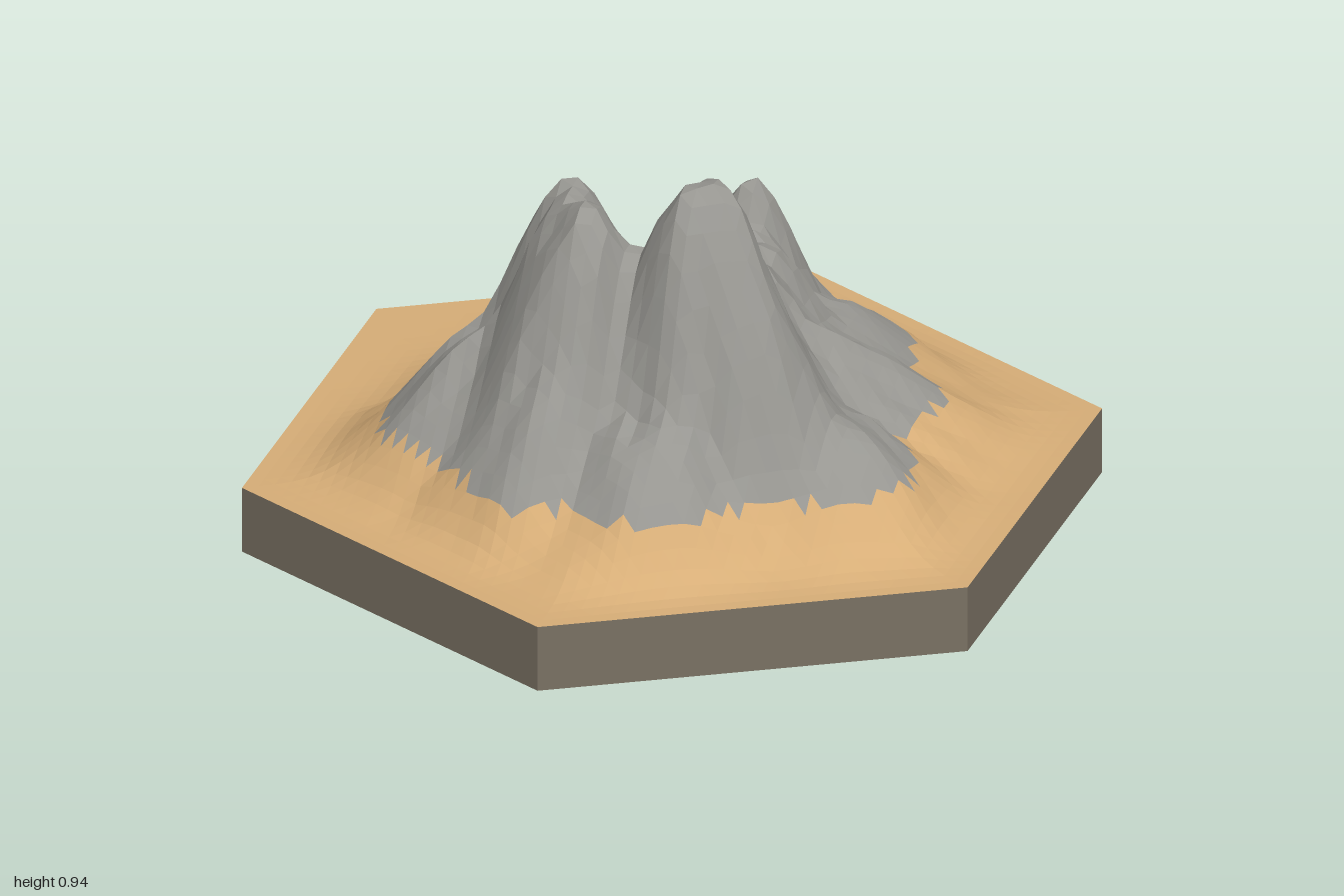
import * as THREE from 'three';

const RINGS = 26, BASE = 0.16, ROCK_LINE = 0.285;

// Summits, saddles and spurs: x, z, height, width
const PEAKS = [
  [-0.11, 0.23, 0.96, 0.25], [-0.28, 0.0, 0.88, 0.24], [-0.19, -0.13, 0.84, 0.22],
  [0.32, -0.09, 0.70, 0.18], [-0.07, 0.39, 0.69, 0.19], [0.23, 0.03, 0.64, 0.19],
  [0.12, 0.11, 0.64, 0.22], [0.02, -0.02, 0.56, 0.18], [0.22, 0.20, 0.46, 0.28],
  [-0.12, -0.33, 0.48, 0.20], [-0.38, -0.21, 0.49, 0.24], [0.30, -0.25, 0.42, 0.26],
  [0.30, 0.27, 0.38, 0.28], [0.02, 0.49, 0.42, 0.25], [-0.35, 0.32, 0.46, 0.24],
  [0.40, 0.04, 0.42, 0.27], [0.42, -0.14, 0.41, 0.25], [-0.45, 0.08, 0.50, 0.22],
];

const hash = (a, b) => {
  const s = Math.sin(a * 127.1 + b * 311.7 + 7.3) * 43758.5453;
  return s - Math.floor(s);
};

// Gullies running out from the centre, varying slowly with radius
function gully(x, z) {
  const cells = 56;
  const u = (Math.atan2(x, z) / (2 * Math.PI) + 1) * cells, v = Math.hypot(x, z) * 6;
  const a = Math.floor(u), b = Math.floor(v), f = u - a, g = v - b;
  const h = (i, j) => hash((a + i) % cells, b + j);
  const lerp = THREE.MathUtils.lerp;
  return lerp(lerp(h(0, 0), h(1, 0), f), lerp(h(0, 1), h(1, 1), f), g) - 0.5;
}

function height(x, z, t) {
  // A high-power sum blends neighbouring peaks while keeping their ridges
  let sum = 0;
  for (const [px, pz, top, w] of PEAKS) {
    const d = Math.hypot(x - px, z - pz) / w;
    sum += ((top - BASE) * Math.exp(-d * d)) ** 8;
  }
  let rise = sum ** (1 / 8);
  const rough = 0.32 * THREE.MathUtils.smoothstep(Math.hypot(x, z), 0.05, 0.35);
  rise *= 1 + rough * (1 - 0.9 * rise) * gully(x, z);
  return BASE + rise * (1 - THREE.MathUtils.smoothstep(t, 0.74, 1));
}

// Point j along ring i of hexagon sector k
function point(k, i, j) {
  const a = k * Math.PI / 3, b = a + Math.PI / 3, t = i / RINGS, f = i ? j / i : 0;
  const x = t * THREE.MathUtils.lerp(Math.sin(a), Math.sin(b), f);
  const z = t * THREE.MathUtils.lerp(Math.cos(a), Math.cos(b), f);
  return [x, height(x, z, t), z];
}

function surface(name, positions, material) {
  const g = new THREE.BufferGeometry();
  g.setAttribute('position', new THREE.Float32BufferAttribute(positions, 3));
  g.computeVertexNormals(); // unshared corners give flat facets
  const mesh = new THREE.Mesh(g, material);
  mesh.name = name;
  return mesh;
}

export function createModel() {
  const material = (name, color) => {
    const m = new THREE.MeshStandardMaterial({ color });
    m.name = name;
    return m;
  };
  const sand = material('sand', 0xd6ad77);
  const rock = material('rock', 0x979691);
  const earth = material('earth', 0x7a7163);
  const model = new THREE.Group();
  model.name = 'mountainTile';

  // Terrain facets, sorted into rock and sand by height
  const rockFaces = [], sandFaces = [];
  const facet = (a, b, c) => {
    const high = (a[1] + b[1] + c[1]) / 3 > ROCK_LINE;
    (high ? rockFaces : sandFaces).push(...a, ...b, ...c);
  };
  for (let k = 0; k < 6; k++)
    for (let i = 0; i < RINGS; i++)
      for (let j = 0; j <= i; j++) {
        facet(point(k, i, j), point(k, i + 1, j), point(k, i + 1, j + 1));
        if (j < i) facet(point(k, i, j), point(k, i + 1, j + 1), point(k, i, j + 1));
      }
  model.add(surface('mountainRock', rockFaces, rock), surface('sandSlopes', sandFaces, sand));

  // Hexagonal plinth: side walls and underside
  const wallGeometry = new THREE.CylinderGeometry(1, 1, BASE, 6, 1, true).toNonIndexed();
  wallGeometry.computeVertexNormals();
  const walls = new THREE.Mesh(wallGeometry, earth);
  walls.name = 'plinthWalls';
  walls.position.y = BASE / 2;
  const underside = new THREE.Mesh(new THREE.CircleGeometry(1, 6, Math.PI / 2).rotateX(Math.PI / 2), earth);
  underside.name = 'plinthUnderside';
  model.add(walls, underside);
  return model;
}
